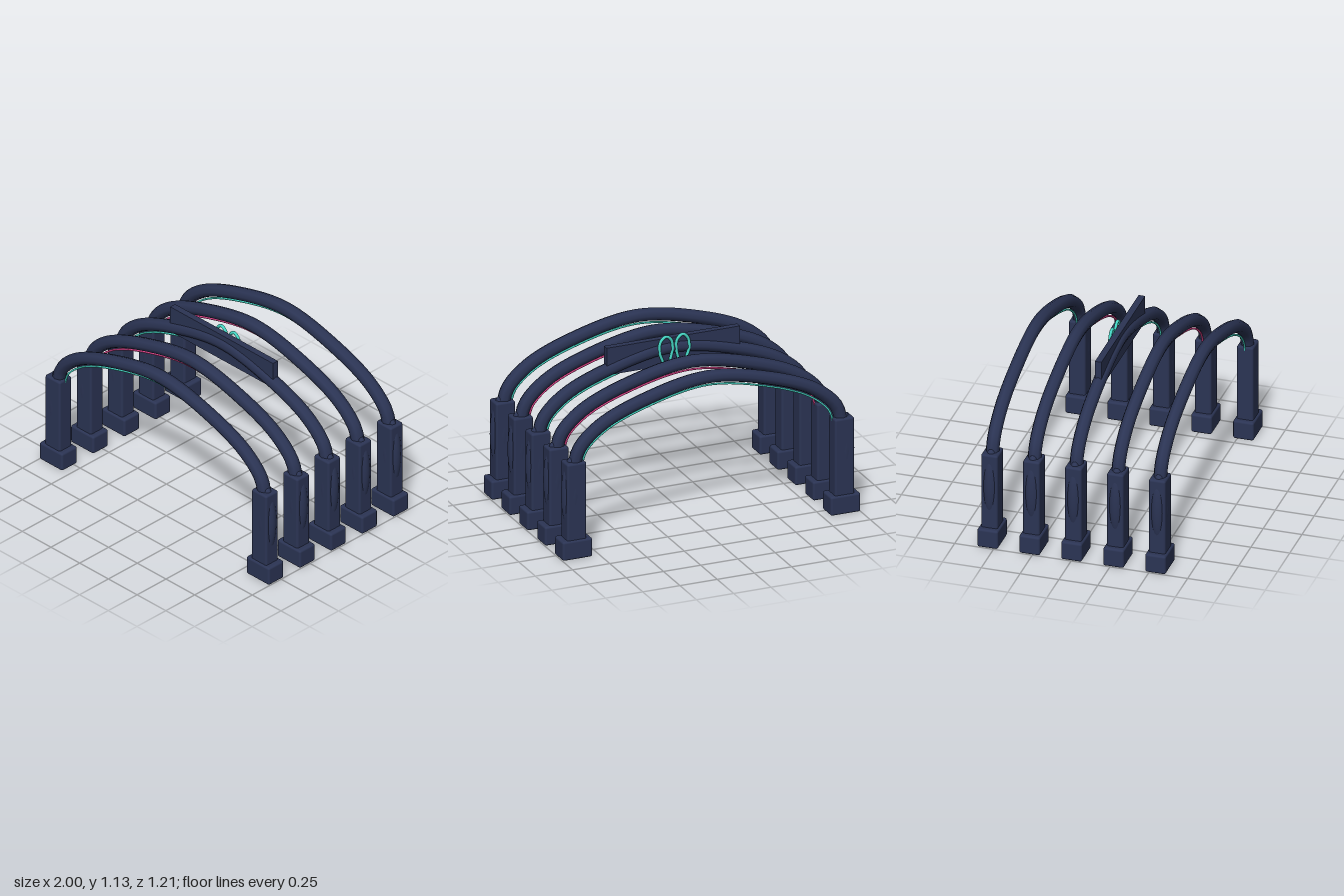
import * as THREE from 'three';
import { RoundedBoxGeometry } from 'three/addons/geometries/RoundedBoxGeometry.js';

const frameMat = new THREE.MeshStandardMaterial({ color: 0x2b3454 });
const cyanMat = new THREE.MeshStandardMaterial({ color: 0x45d6c4 });
const pinkMat = new THREE.MeshStandardMaterial({ color: 0xe0448c });

function add(parent, name, geometry, material, x = 0, y = 0, z = 0) {
  const mesh = new THREE.Mesh(geometry, material);
  mesh.name = name;
  mesh.position.set(x, y, z);
  parent.add(mesh);
  return mesh;
}

// Smooth curve through [x, y] points in the z = 0 plane
const curve = (pts) => new THREE.CatmullRomCurve3(pts.map(([x, y]) => new THREE.Vector3(x, y, 0)));

export function createModel() {
  const model = new THREE.Group();
  model.name = 'archTunnel';

  // Arch centre line: right half mirrored to the left
  const half = [[0.9, 0.58], [0.865, 0.7], [0.72, 0.835], [0.42, 0.958]];
  const archCurve = curve([...half.map(([x, y]) => [-x, y]), [0, 1.037], ...half.slice().reverse()]);
  const archGeo = new THREE.TubeGeometry(archCurve, 48, 0.043, 8);

  // Light strip runs along the underside of the arch
  const strip = [];
  for (let i = 0; i <= 32; i++) {
    const p = archCurve.getPointAt(i / 32);
    const t = archCurve.getTangentAt(i / 32);
    strip.push([p.x + t.y * 0.054, p.y - t.x * 0.054]);
  }
  const stripGeo = new THREE.TubeGeometry(curve(strip), 64, 0.0065, 6);

  const footGeo = new RoundedBoxGeometry(0.2, 0.125, 0.133, 3, 0.014);
  const legGeo = new RoundedBoxGeometry(0.13, 0.55, 0.107, 3, 0.014);
  const padGeo = new THREE.SphereGeometry(1, 24, 16).scale(0.07, 0.25, 0.055);

  // Five identical arches with alternating strip colours
  for (let i = 0; i < 5; i++) {
    const arch = new THREE.Group();
    arch.name = 'arch' + (i + 1);
    arch.position.z = 0.54 - i * 0.27;
    add(arch, 'archTube', archGeo, frameMat);
    add(arch, 'lightStrip', stripGeo, i % 2 ? pinkMat : cyanMat);
    for (const [side, s] of [['left', 1], ['right', -1]]) {
      add(arch, side + 'Foot', footGeo, frameMat, s * 0.9, 0.0625);
      add(arch, side + 'Leg', legGeo, frameMat, s * 0.899, 0.355);
      add(arch, side + 'LegPad', padGeo, frameMat, s * 0.911, 0.41);
    }
    model.add(arch);
  }

  // Sign board on the middle arch
  add(model, 'signBoard', new THREE.BoxGeometry(0.894, 0.18, 0.042), frameMat, 0, 1.015, 0);

  // Pair of open loops behind the board
  const loop = [[0.075, 0.955], [0.1, 1.03], [0.09, 1.095], [0.055, 1.122],
    [0.02, 1.095], [0.012, 1.04], [0.03, 0.955]];
  for (const [side, s] of [['left', 1], ['right', -1]]) {
    const path = curve(loop.map(([x, y]) => [s * x, y]));
    const mesh = add(model, side + 'Loop', new THREE.TubeGeometry(path, 40, 0.01, 8), cyanMat);
    mesh.position.z = -0.035;
  }
  return model;
}
